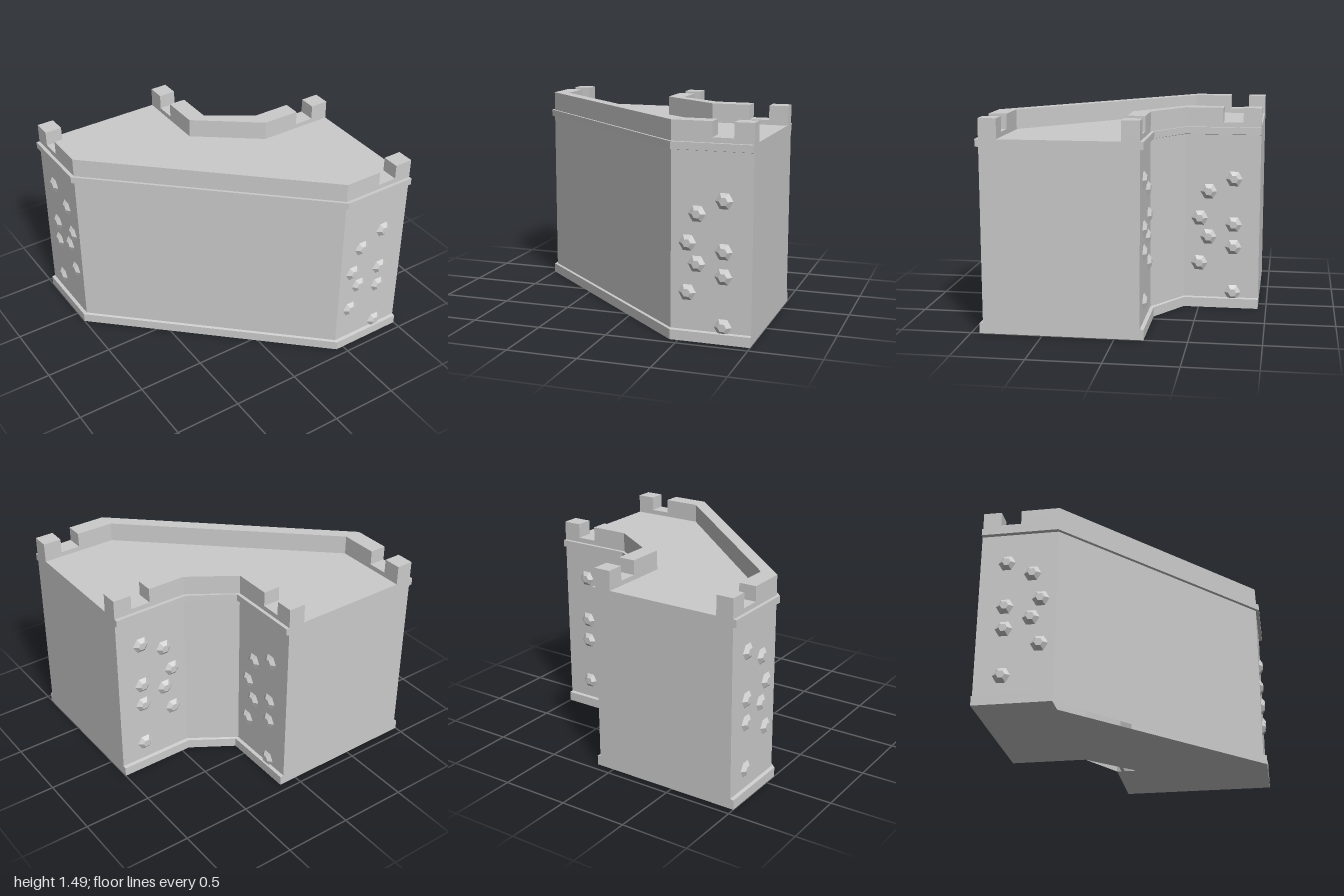
import * as THREE from 'three';

const grey = new THREE.MeshStandardMaterial({ color: 0xcccccc, flatShading: true, side: THREE.DoubleSide });

// Plan outlines as [x, z], counter-clockwise seen from above
const outline = [[1, -0.2], [0.44, -0.2], [0.14, -0.39], [0.14, -0.94],
  [-1, -0.94], [-1, -0.39], [0.44, 0.94], [1, 0.94]];
const inset = [[1, -0.175], [0.44, -0.175], [0.115, -0.39], [0.115, -0.94],
  [-0.975, -0.94], [-0.975, -0.39], [0.44, 0.915], [1, 0.915]];

const DECK = 1.35, NOTCH = 1.385, TOP = 1.49;

function planShape(points) {
  return new THREE.Shape(points.map(([x, z]) => new THREE.Vector2(x, -z)));
}

function add(parent, name, geometry) {
  const mesh = new THREE.Mesh(geometry, grey);
  mesh.name = name;
  parent.add(mesh);
  return mesh;
}

// Upright prism over a plan polygon
function prism(points, y0, y1) {
  return new THREE.ExtrudeGeometry(planShape(points), { depth: y1 - y0, bevelEnabled: false })
    .rotateX(-Math.PI / 2).translate(0, y0, 0);
}

// Flat slab face over a plan polygon
function plate(points, y, down = false) {
  return new THREE.ShapeGeometry(planShape(points)).rotateX(-Math.PI / 2).translate(0, y, 0);
}

// Walls joining stacked plan rings
function loft(levels) {
  const pos = [], idx = [], n = outline.length;
  levels.forEach(([ring, y]) => ring.forEach(([x, z]) => pos.push(x, y, z)));
  for (let l = 0; l < levels.length - 1; l++) {
    for (let i = 0; i < n; i++) {
      const a = l * n + i, b = l * n + (i + 1) % n;
      idx.push(a, b, b + n, a, b + n, a + n);
    }
  }
  const g = new THREE.BufferGeometry();
  g.setAttribute('position', new THREE.Float32BufferAttribute(pos, 3));
  g.setIndex(idx);
  const flat = g.toNonIndexed();
  flat.computeVertexNormals();
  return flat;
}

// Parapet along one side: xo/xi and zo/zi are its outer and inner faces on each arm
function parapet(name, xo, xi, zo, zi) {
  const group = new THREE.Group();
  group.name = name;
  const along = (zEnd, xEnd) => [[xo, zEnd], [xo, -0.39], [0.44, zo], [xEnd, zo],
    [xEnd, zi], [0.44, zi], [xi, -0.39], [xi, zEnd]];
  add(group, 'parapetCourse', prism(along(-0.94, 1), DECK, NOTCH));
  add(group, 'parapetWall', prism(along(-0.665, 0.72), NOTCH, TOP));
  add(group, 'armMerlon', prism([[xo, -0.94], [xo, -0.81], [xi, -0.81], [xi, -0.94]], NOTCH, TOP));
  add(group, 'frontMerlon', prism([[0.865, zo], [1, zo], [1, zi], [0.865, zi]], NOTCH, TOP));
  return group;
}

// Projecting six-sided stones: distance along the wall, height
const stones = [[0.805, 0.97], [0.62, 0.875], [0.555, 0.675], [0.805, 0.63],
  [0.62, 0.535], [0.805, 0.46], [0.555, 0.335], [0.805, 0.115]];

function stoneField(name, lift, place, turn) {
  const group = new THREE.Group();
  group.name = name;
  const geo = new THREE.CylinderGeometry(0.03, 0.062, 0.025, 6)
    .rotateY(Math.PI / 6).rotateX(Math.PI / 2).translate(0, 0, 0.0125);
  for (const [u, y] of stones) {
    const stone = add(group, 'wallStone', geo);
    const [x, z] = place(u);
    stone.position.set(x, y + lift, z);
    stone.rotation.y = turn;
  }
  return group;
}

export function createModel() {
  const model = new THREE.Group();
  model.name = 'castleCornerWall';

  // Walls with plinth and string course
  add(model, 'walls', loft([[outline, 0], [outline, 0.07], [inset, 0.075], [inset, 1.295],
    [outline, 1.3], [outline, DECK], [inset, DECK]]));
  add(model, 'deck', plate(inset, DECK));

  // Underside, left open at the two diagonal corners
  add(model, 'underside', plate([[1, -0.2], [0.44, -0.2], [0.44, -0.05], [0.14, -0.39], [0.14, -0.94],
    [-1, -0.94], [-1, -0.39], [-0.85, -0.39], [0.44, 0.94], [1, 0.94]], 0).scale(1, -1, 1));

  model.add(parapet('outerParapet', -0.975, -0.85, 0.915, 0.79));
  model.add(parapet('innerParapet', 0.115, -0.01, -0.175, -0.05));

  // Stones on the four straight walls
  model.add(stoneField('frontStones', 0, u => [u, 0.915], 0));
  model.add(stoneField('innerArmStones', 0, u => [0.115, 0.055 - u], Math.PI / 2));
  model.add(stoneField('backStones', 0.1, u => [u, -0.175], Math.PI));
  model.add(stoneField('outerArmStones', 0.1, u => [-0.975, 0.055 - u], -Math.PI / 2));
  return model;
}
